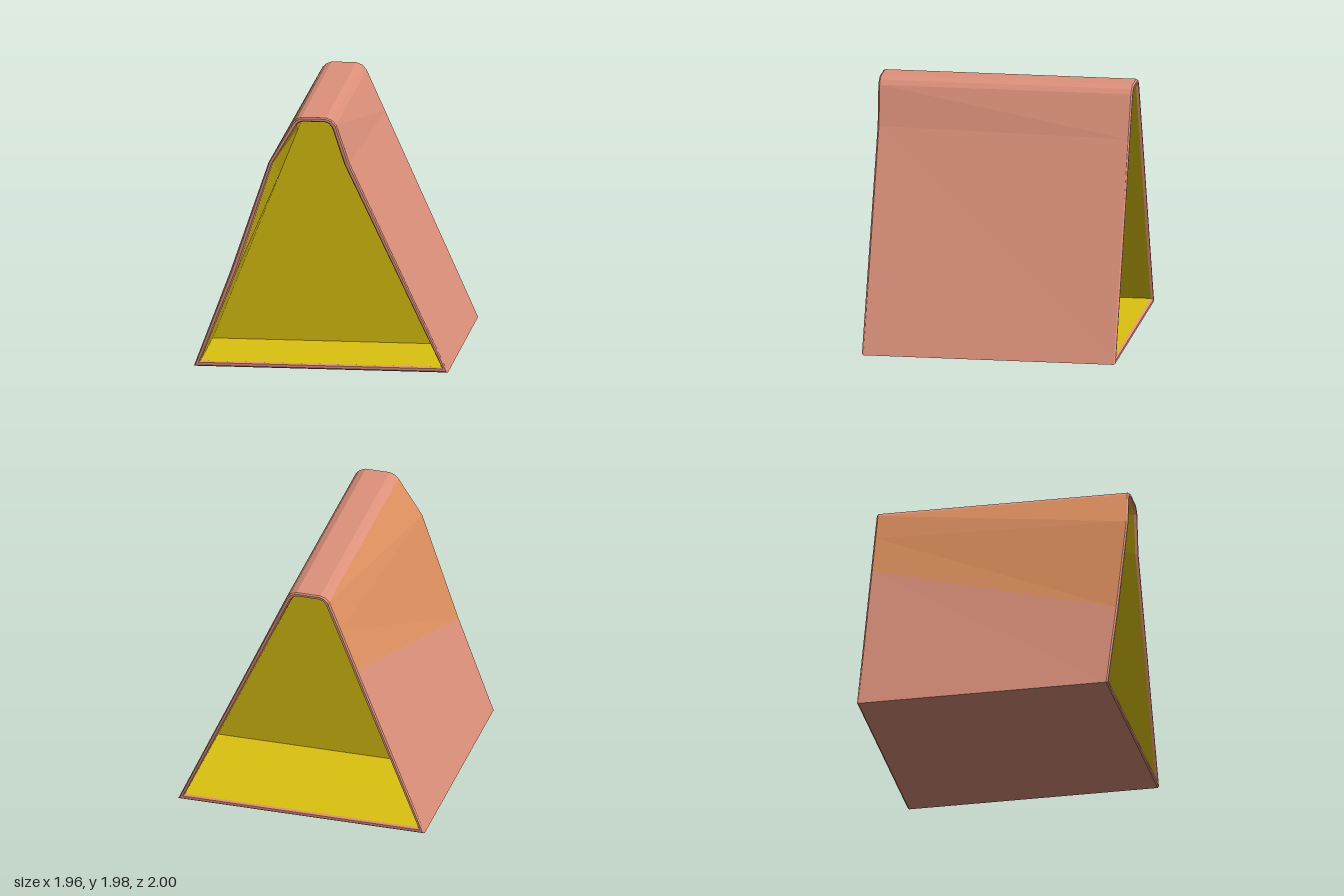
import * as THREE from 'three';

// Profiles run counter-clockwise seen from the front:
// two floor corners, right kink, three + three ridge points, left kink, left crease.
const ridgeOut = [[0.12, 1.92], [0.09, 1.955], [0.04, 1.975], [-0.15, 1.975], [-0.19, 1.96], [-0.22, 1.93]];
const ridgeIn = [[0.085, 1.9], [0.06, 1.93], [0.03, 1.94], [-0.14, 1.94], [-0.17, 1.93], [-0.19, 1.905]];
const profile = (half, y, kinkR, ridge, kinkL, crease) =>
  [[-half, y], [half, y], kinkR, ...ridge, kinkL, crease];

const outerBack = profile(0.98, 0, [0.263, 1.6], ridgeOut, [-0.312, 1.7], [-0.445, 1.36]);
const innerBack = profile(0.93, 0.04, [0.221, 1.6], ridgeIn, [-0.272, 1.7], [-0.411, 1.35]);
const outerFront = profile(0.98, 0, [0.22, 1.62], ridgeOut, [-0.4, 1.62], [-0.695, 0.76]);
const innerFront = profile(0.93, 0.04, [0.18, 1.61], ridgeIn, [-0.365, 1.62], [-0.645, 0.76]);
const frontZ = [0.96, 0.965, 0.96, 0.97, 0.97, 0.97, 0.97, 0.97, 0.97, 1.0, 0.98];

// Ring of 3D points between an outer and an inner profile
const ring = (outer, inner, t, z) => outer.map(([x, y], i) => new THREE.Vector3(
  x + (inner[i][0] - x) * t, y + (inner[i][1] - y) * t, typeof z === 'function' ? z(i) : z));

// Flat-shaded strips joining successive rings, for the chosen profile edges
function loft(rings, edges) {
  const pts = [];
  for (let r = 0; r < rings.length - 1; r++) {
    for (const i of edges) {
      const j = (i + 1) % rings[r].length;
      const [a, b, c, d] = [rings[r][i], rings[r][j], rings[r + 1][j], rings[r + 1][i]];
      pts.push(a, b, c, a, c, d);
    }
  }
  const geo = new THREE.BufferGeometry().setFromPoints(pts);
  geo.computeVertexNormals();
  return geo;
}

export function createModel() {
  const group = new THREE.Group();
  const material = (name, color) => {
    const m = new THREE.MeshStandardMaterial({ color });
    m.name = name;
    return m;
  };
  const salmon = material('salmon', 0xdd917b);
  const mustard = material('mustard', 0xdcc210);
  const ochre = material('ochre', 0xdf905f);
  const add = (name, geo, mat) => {
    const mesh = new THREE.Mesh(geo, mat);
    mesh.name = name;
    group.add(mesh);
  };

  const all = outerBack.map((_, i) => i);
  const patch = [8, 9];
  const back = (t, z) => ring(outerBack, innerBack, t, z);
  const front = (t, inset) => ring(outerFront, innerFront, t, i => frontZ[i] - inset);
  const bevel = 0.012;

  // Outer shell, with the upper part of one slope in its own colour
  const outside = [back(0, -1 + bevel), front(0, bevel)];
  add('outerShell', loft(outside, all.filter(i => !patch.includes(i))), salmon);
  add('upperSlopePanel', loft(outside, patch), ochre);

  // Bevelled rims around both openings
  add('frontRim', loft([front(0, bevel), front(0.25, 0), front(0.75, 0), front(1, 0.02)], all), salmon);
  add('backRim', loft([back(1, -0.98), back(0.75, -1), back(0.25, -1), back(0, -1 + bevel)], all), salmon);

  // Inner lining
  add('innerLining', loft([front(1, 0.02), back(1, 0.15), back(1, -0.98)], all), mustard);

  // Dividing wall across the middle
  const shape = new THREE.Shape(innerBack.map(([x, y]) => new THREE.Vector2(x, y)));
  const wall = new THREE.ExtrudeGeometry(shape, { depth: 0.19, bevelEnabled: false });
  add('dividingWall', wall.translate(0, 0, -0.04), mustard);

  return group;
}
